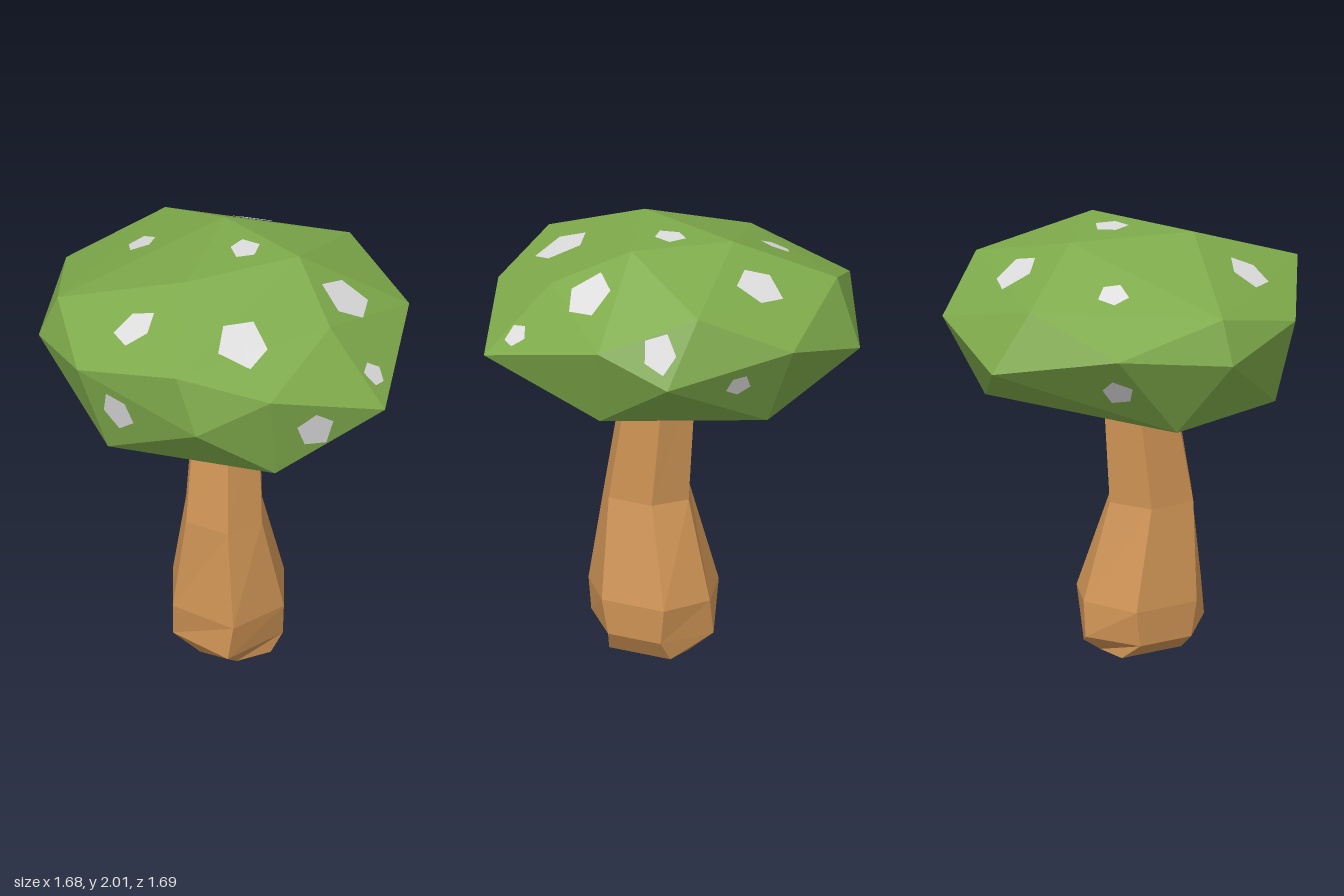
import * as THREE from 'three';
import { ConvexGeometry } from 'three/addons/geometries/ConvexGeometry.js';

const V = (x, y, z) => new THREE.Vector3(x, y, z);
const material = (name, color) => {
  const m = new THREE.MeshStandardMaterial({ color });
  m.name = name;
  return m;
};

// Flat-faced geometry from a list of corner triples
function facets(corners) {
  const g = new THREE.BufferGeometry().setFromPoints(corners);
  g.computeVertexNormals();
  return g;
}

// Faceted cap: crown, shoulder ring, zigzag rim and underside ring
const capPoints = [
  [0, 2, -0.3], [0.34, 2, 0.04], [-0.17, 2, 0.26],
  [-0.22, 1.81, 0.79], [0.48, 1.83, 0.38], [0.57, 1.83, -0.44], [-0.27, 1.81, -0.69], [-0.76, 1.78, 0.04],
  [-0.13, 1.53, 0.84], [0.21, 1.69, 0.81], [0.73, 1.52, 0.59], [0.84, 1.68, -0.07], [0.73, 1.52, -0.37],
  [0.31, 1.65, -0.79], [-0.2, 1.52, -0.85], [-0.72, 1.66, -0.5], [-0.845, 1.58, 0.04], [-0.67, 1.67, 0.49],
  [0.7, 1.3, 0], [0.23, 1.27, 0.735], [-0.53, 1.25, 0.47], [-0.635, 1.235, -0.13], [0.23, 1.265, -0.61],
].map((p) => V(...p));

// Face planes of the convex cap, used to lay the spots on it
function facePlanes(geometry) {
  const pos = geometry.attributes.position;
  const corner = (i) => V(0, 0, 0).fromBufferAttribute(pos, i);
  const planes = [];
  for (let i = 0; i < pos.count; i += 3) {
    planes.push(new THREE.Plane().setFromCoplanarPoints(corner(i), corner(i + 1), corner(i + 2)));
  }
  return planes;
}

// Irregular five-sided spot that follows the cap surface
function spotGeometry(center, radius, turn, planes) {
  const nearest = planes.reduce((a, b) => (b.distanceToPoint(center) > a.distanceToPoint(center) ? b : a));
  const n = nearest.normal;
  const u = V(0, 1, 0).cross(n);
  if (u.length() < 0.05) u.set(1, 0, 0);
  u.normalize();
  const v = n.clone().cross(u);
  const onCap = (p) => {
    let t = Infinity;
    for (const f of planes) {
      const slope = f.normal.dot(n);
      if (slope > 0.3) t = Math.min(t, -f.distanceToPoint(p) / slope);
    }
    return p.addScaledVector(n, t + 0.005);
  };
  const rim = [1, 0.88, 1.05, 0.92, 1.08].map((k, i) => {
    const a = turn + (i * Math.PI * 2) / 5;
    return onCap(center.clone()
      .addScaledVector(u, Math.cos(a) * radius * k * 0.9)
      .addScaledVector(v, Math.sin(a) * radius * k));
  });
  const middle = onCap(center.clone());
  return facets(rim.flatMap((p, i) => [middle, p, rim[(i + 1) % 5]]));
}

// Spot centre and radius
const spots = [
  [0.13, 1.87, -0.51, 0.12], [-0.385, 1.88, -0.315, 0.078], [0.09, 2, -0.02, 0.08],
  [0.7, 1.68, -0.31, 0.095], [0.555, 1.83, 0.14, 0.13], [0.68, 1.625, 0.45, 0.066],
  [0.08, 1.825, 0.54, 0.14], [-0.4, 1.83, 0.4, 0.105], [-0.5, 1.5, 0.6, 0.1],
  [0.415, 1.485, 0.71, 0.1], [0.47, 1.49, -0.605, 0.065], [-0.59, 1.47, -0.42, 0.088],
];

// Trunk rings: height, left x, middle x, right x, then z from front to back
const trunkRings = [
  [0, -0.11, 0.055, 0.21, 0.31, 0.23, -0.09, -0.1],
  [0.088, -0.235, 0.015, 0.265, 0.435, 0.205, -0.07, -0.205],
  [0.25, -0.235, 0.04, 0.27, 0.435, 0.235, -0.09, -0.2],
  [0.71, -0.175, 0.015, 0.17, 0.365, 0.255, 0.03, -0.075],
  [1.34, -0.128, 0.015, 0.153, 0.25, 0.155, -0.025, -0.115],
];

// Six-sided bent trunk skinned between its rings
function trunkGeometry() {
  const rings = trunkRings.map(([y, l, m, r, zf, zrf, zrb, zb]) => [
    V(m, y, zf), V(r, y, zrf), V(r, y, zrb), V(m, y, zb), V(l, y, zrb), V(l, y, zrf),
  ]);
  const tris = [];
  for (let k = 0; k < rings.length - 1; k++) {
    for (let i = 0; i < 6; i++) {
      const j = (i + 1) % 6;
      const [a, b, c, d] = [rings[k][i], rings[k][j], rings[k + 1][j], rings[k + 1][i]];
      tris.push(a, b, c, a, c, d);
    }
  }
  const base = rings[0];
  const top = rings[rings.length - 1];
  for (let i = 1; i < 5; i++) tris.push(base[0], base[i + 1], base[i], top[0], top[i], top[i + 1]);
  return facets(tris);
}

export function createModel() {
  const group = new THREE.Group();
  group.name = 'mushroom';
  const green = material('cap green', 0x7fab4b);
  const brown = material('trunk brown', 0xcf9455);
  const grey = material('spot pale grey', 0xdedede);
  const add = (geometry, mat, name) => {
    const mesh = new THREE.Mesh(geometry, mat);
    mesh.name = name;
    group.add(mesh);
  };

  add(trunkGeometry(), brown, 'trunk');
  const cap = new ConvexGeometry(capPoints);
  add(cap, green, 'cap');

  const planes = facePlanes(cap);
  spots.forEach(([x, y, z, r], i) => add(spotGeometry(V(x, y, z), r, 0.3 + i * 0.7, planes), grey, `spot${i + 1}`));
  return group;
}
